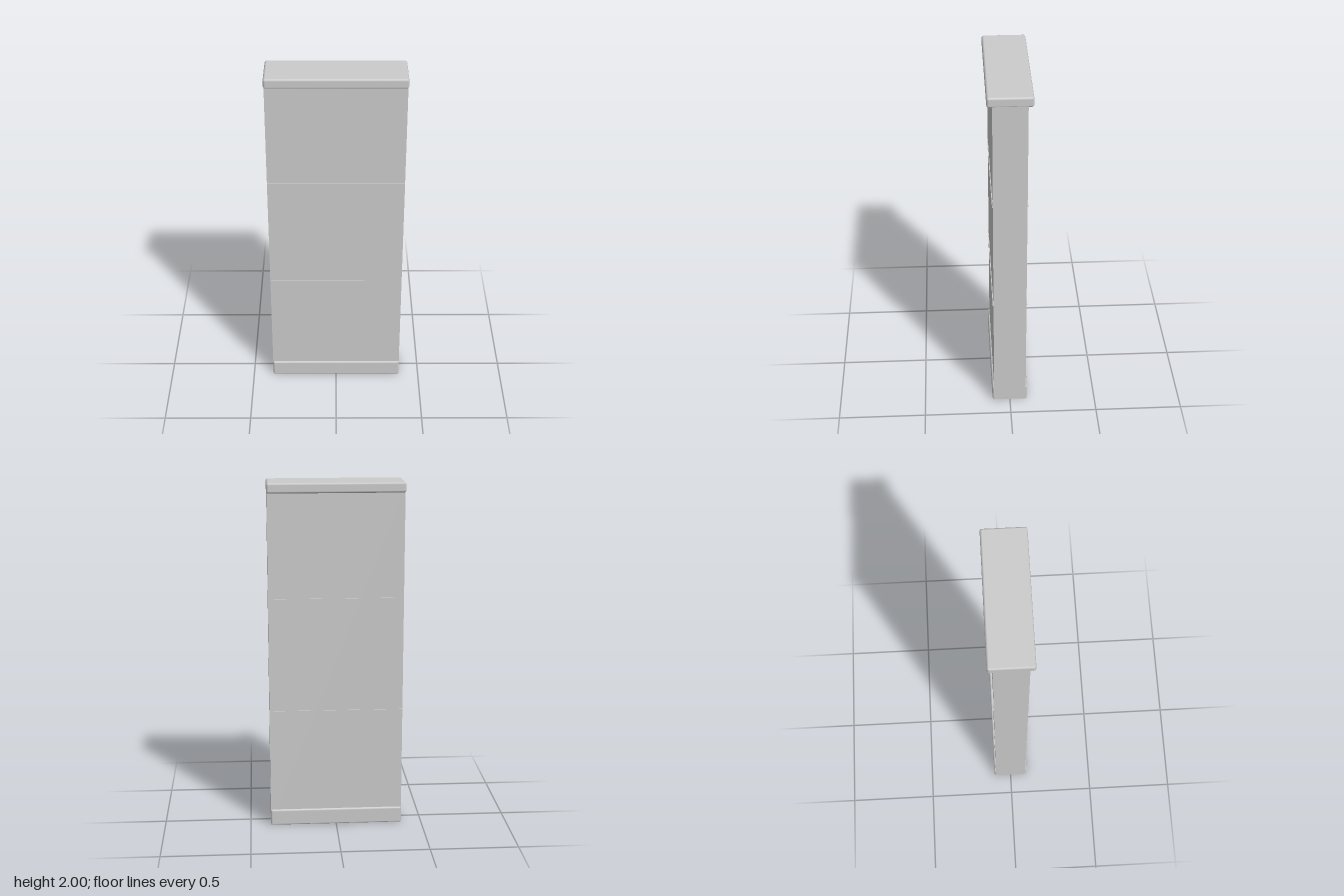
import * as THREE from 'three';
import { RoundedBoxGeometry } from 'three/addons/geometries/RoundedBoxGeometry.js';

export function createModel() {
  const group = new THREE.Group();
  const plaster = new THREE.MeshStandardMaterial({ color: 0xcccccc });
  plaster.name = 'plaster';

  const add = (name, geometry, y, z = 0) => {
    const mesh = new THREE.Mesh(geometry, plaster);
    mesh.name = name;
    mesh.position.set(0, y, z);
    group.add(mesh);
  };

  // One-step bevel with soft normals; the pad makes up for its slightly sunken faces
  const softBox = (w, h, d, r) => {
    const pad = 2 * r * (1 - 3 / Math.sqrt(11));
    return new RoundedBoxGeometry(w + pad, h + pad, d + pad, 1, r);
  };

  // Wall slab
  add('wallSlab', new THREE.BoxGeometry(0.764, 1.96, 0.186), 0.98);

  // Overhanging coping along the top
  add('coping', softBox(0.766, 0.055, 0.242, 0.012), 1.9725);

  // Skirting around the foot, ends just inside the slab ends
  add('skirting', softBox(0.763, 0.094, 0.204, 0.01), 0.0475);

  // Thin joint ridges on both faces
  for (const y of [0.695, 1.35]) {
    for (const side of [1, -1]) {
      add('jointRidge', new THREE.BoxGeometry(0.764, 0.005, 0.006), y, side * 0.0945);
    }
  }
  return group;
}
